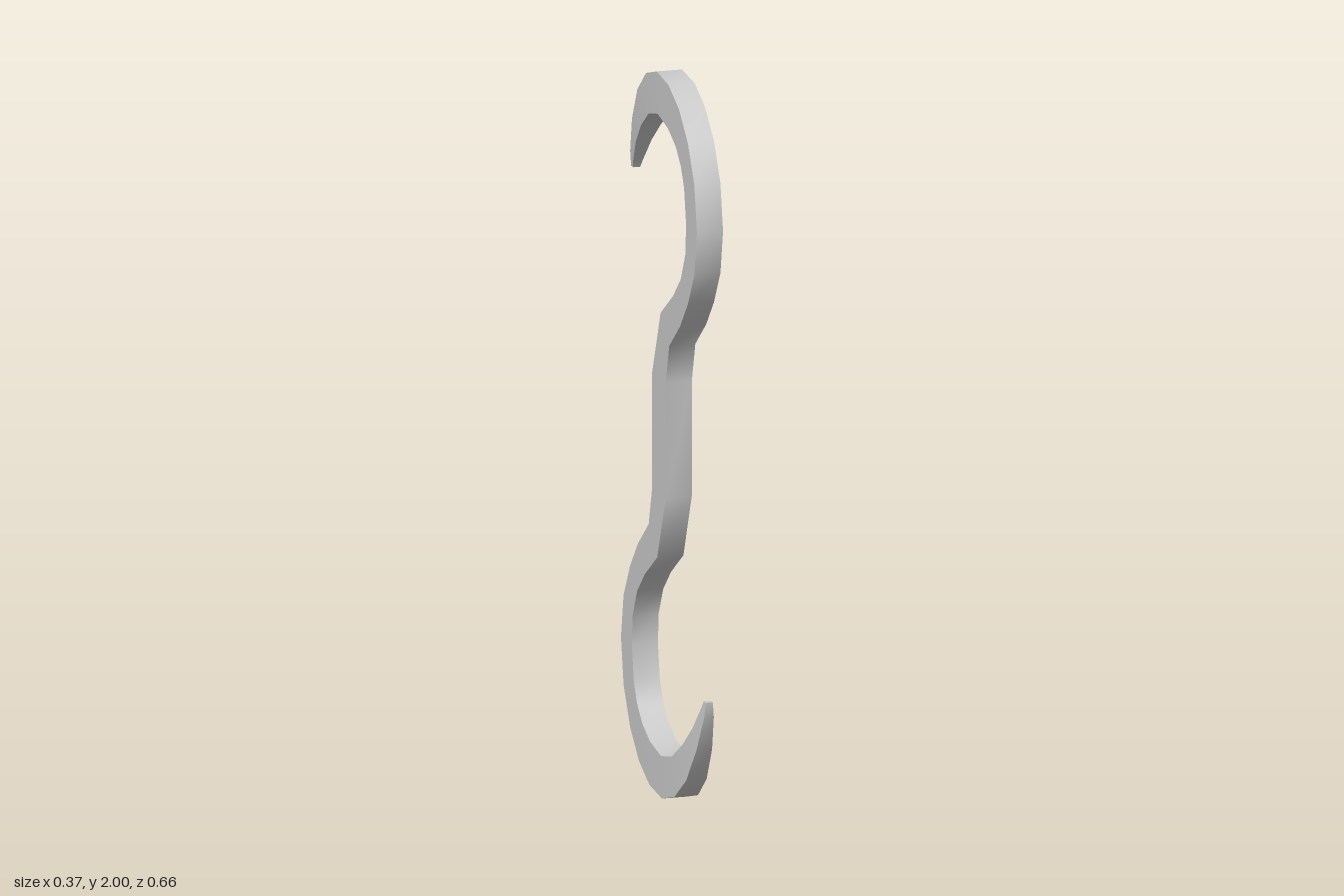
import * as THREE from 'three';

// Upper half of the hook, from the shank to the tip, measured from the middle:
// [outer x, outer y, inner x, inner y, thickness]
const HALF = [
  [-0.062, 0.159, 0.062, 0.159, 0.073],
  [-0.094, 0.270, -0.015, 0.342, 0.073],
  [-0.194, 0.350, -0.130, 0.418, 0.073],
  [-0.265, 0.429, -0.200, 0.482, 0.073],
  [-0.324, 0.524, -0.242, 0.561, 0.073],
  [-0.348, 0.646, -0.248, 0.646, 0.073],
  [-0.324, 0.773, -0.230, 0.742, 0.073],
  [-0.265, 0.874, -0.200, 0.794, 0.073],
  [-0.183, 0.948, -0.153, 0.837, 0.073],
  [-0.088, 0.990, -0.082, 0.869, 0.073],
  [0.024, 1.000, 0.015, 0.885, 0.071],
  [0.130, 0.969, 0.106, 0.863, 0.066],
  [0.224, 0.900, 0.189, 0.810, 0.057],
  [0.295, 0.800, 0.259, 0.747, 0.044],
  [0.339, 0.699, 0.312, 0.678, 0.027],
  [0.342, 0.657, 0.324, 0.657, 0.020],
];

// Four corners of a rectangular cross-section
function corners([lx, ly, rx, ry, t]) {
  const h = t / 2;
  return [[lx, ly, h], [rx, ry, h], [rx, ry, -h], [lx, ly, -h]];
}

function hookGeometry() {
  // The lower half is the upper half turned by 180 degrees
  const lower = HALF.map(([ox, oy, ix, iy, t]) => [-ix, -iy, -ox, -oy, t]).reverse();
  const sections = [...lower, ...HALF].map(corners);
  const pos = [], index = [];
  const last = sections.length - 1;

  // One strip per side, so the long edges stay sharp
  for (let side = 0; side < 4; side++) {
    const start = pos.length / 3;
    for (const s of sections) pos.push(...s[side], ...s[(side + 1) % 4]);
    for (let i = 0; i < last; i++) {
      const a = start + i * 2;
      index.push(a, a + 1, a + 3, a, a + 3, a + 2);
    }
  }

  // Blunt tips
  for (const ring of [[...sections[0]].reverse(), sections[last]]) {
    const a = pos.length / 3;
    pos.push(...ring.flat());
    index.push(a, a + 1, a + 2, a, a + 2, a + 3);
  }

  const g = new THREE.BufferGeometry();
  g.setAttribute('position', new THREE.Float32BufferAttribute(pos, 3));
  g.setIndex(index);
  g.computeVertexNormals();
  return g;
}

export function createModel() {
  const group = new THREE.Group();
  group.name = 'meatHook';
  const hook = new THREE.Mesh(
    hookGeometry(),
    new THREE.MeshStandardMaterial({ color: 0xcccccc })
  );
  hook.name = 'doubleHook';
  hook.position.y = 1;
  hook.rotation.y = 1.117;
  group.add(hook);
  return group;
}
